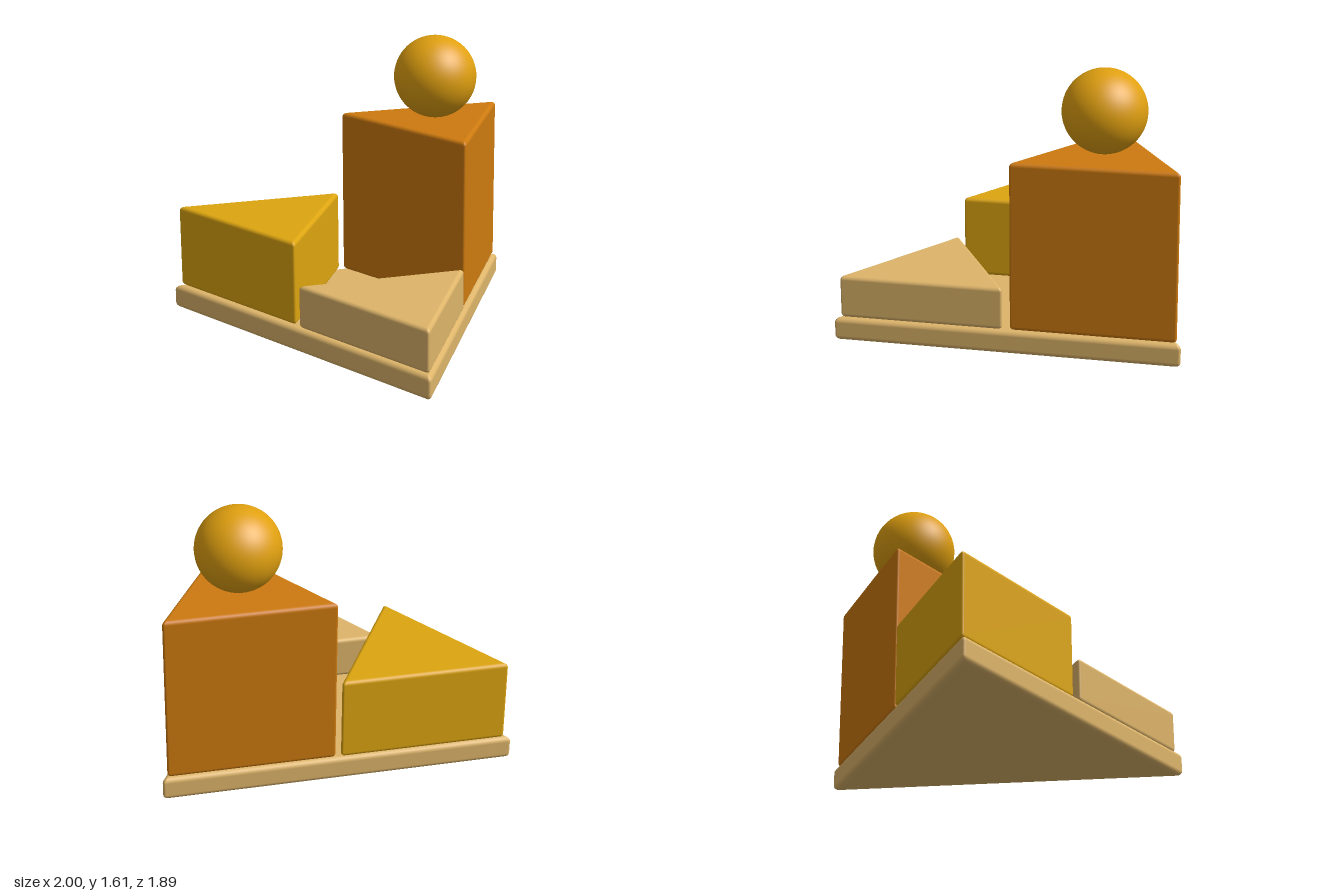
import * as THREE from 'three';

const material = (name, color) => {
  const m = new THREE.MeshStandardMaterial({ color });
  m.name = name;
  return m;
};

// Triangular prism with softened edges. Corners are [x, z], ordered right, left, back.
function roundedPrism(corners, y0, y1, bevel, cornerRadius) {
  const pts = corners.map(([x, z]) => new THREE.Vector2(x, z));
  const mid = pts[0].clone().add(pts[1]).add(pts[2]).divideScalar(3);
  const edgeAngle = (p, q) => Math.atan2(-(q.x - p.x), q.y - p.y);
  const arcSteps = 8, bevelSteps = 6;

  // Outline samples: outward angle, arc centre, and the sharp corner of the flat cap
  const outline = [];
  pts.forEach((p, i) => {
    const from = edgeAngle(pts[(i + 2) % 3], p);
    let to = edgeAngle(p, pts[(i + 1) % 3]);
    while (to < from) to += Math.PI * 2;
    const inward = mid.clone().sub(p).normalize();
    const centre = p.clone().addScaledVector(inward, cornerRadius);
    const cap = centre.clone().addScaledVector(inward, 2 * (bevel - cornerRadius));
    for (let k = 0; k <= arcSteps; k++) {
      outline.push({ a: from + (to - from) * k / arcSteps, centre, cap });
    }
  });

  // Profile: lower quarter round, straight wall, upper quarter round
  const profile = [];
  for (let k = 0; k <= bevelSteps; k++) profile.push([-Math.PI / 2 * (1 - k / bevelSteps), y0 + bevel]);
  for (let k = 0; k <= bevelSteps; k++) profile.push([Math.PI / 2 * k / bevelSteps, y1 - bevel]);

  const position = [], normal = [], index = [];
  const n = outline.length;
  for (const [t, y] of profile) {
    const c = Math.cos(t), s = Math.sin(t);
    for (const { a, centre, cap } of outline) {
      const base = cap.clone().lerp(centre, c);
      position.push(base.x + cornerRadius * c * Math.cos(a), y + bevel * s, base.y + cornerRadius * c * Math.sin(a));
      normal.push(c * Math.cos(a), s, c * Math.sin(a));
    }
  }
  for (let j = 0; j < profile.length - 1; j++) {
    for (let i = 0; i < n; i++) {
      const a = j * n + i, b = j * n + (i + 1) % n;
      index.push(a, a + n, b, b, a + n, b + n);
    }
  }
  // Flat bottom and top
  const step = arcSteps + 1, top = (profile.length - 1) * n;
  index.push(0, step, 2 * step, top, top + 2 * step, top + step);

  const g = new THREE.BufferGeometry();
  g.setAttribute('position', new THREE.Float32BufferAttribute(position, 3));
  g.setAttribute('normal', new THREE.Float32BufferAttribute(normal, 3));
  g.setIndex(index);
  return g;
}

export function createModel() {
  const group = new THREE.Group();
  const tan = material('tan', 0xdeb56a);
  const orange = material('orange', 0xcd7a0f);
  const yellow = material('yellow', 0xdda510);
  const gold = material('gold', 0xe0a010);

  const add = (name, geometry, mat) => {
    const mesh = new THREE.Mesh(geometry, mat);
    mesh.name = name;
    group.add(mesh);
    return mesh;
  };

  // Base slab
  add('base', roundedPrism([[1, 0.6], [-1, 0.94], [-0.275, -0.94]], 0, 0.137, 0.03, 0.014), tan);

  // Three equal blocks of different heights, one in each corner of the base
  const block = [[0.329, -0.18], [-0.617, -0.018], [-0.273, -0.908]];
  const blocks = [
    ['tallBlock', 0, 0, 1.12, orange],
    ['middleBlock', -0.36, 0.922, 0.625, yellow],
    ['lowBlock', 0.636, 0.762, 0.388, tan],
  ];
  for (const [name, dx, dz, top, mat] of blocks) {
    const corners = block.map(([x, z]) => [x + dx, z + dz]);
    add(name, roundedPrism(corners, 0.137, top, 0.024, 0.012), mat);
  }

  // Ball hovering above the tall block
  add('ball', new THREE.SphereGeometry(0.24, 48, 32), gold).position.set(-0.187, 1.372, -0.377);

  return group;
}
